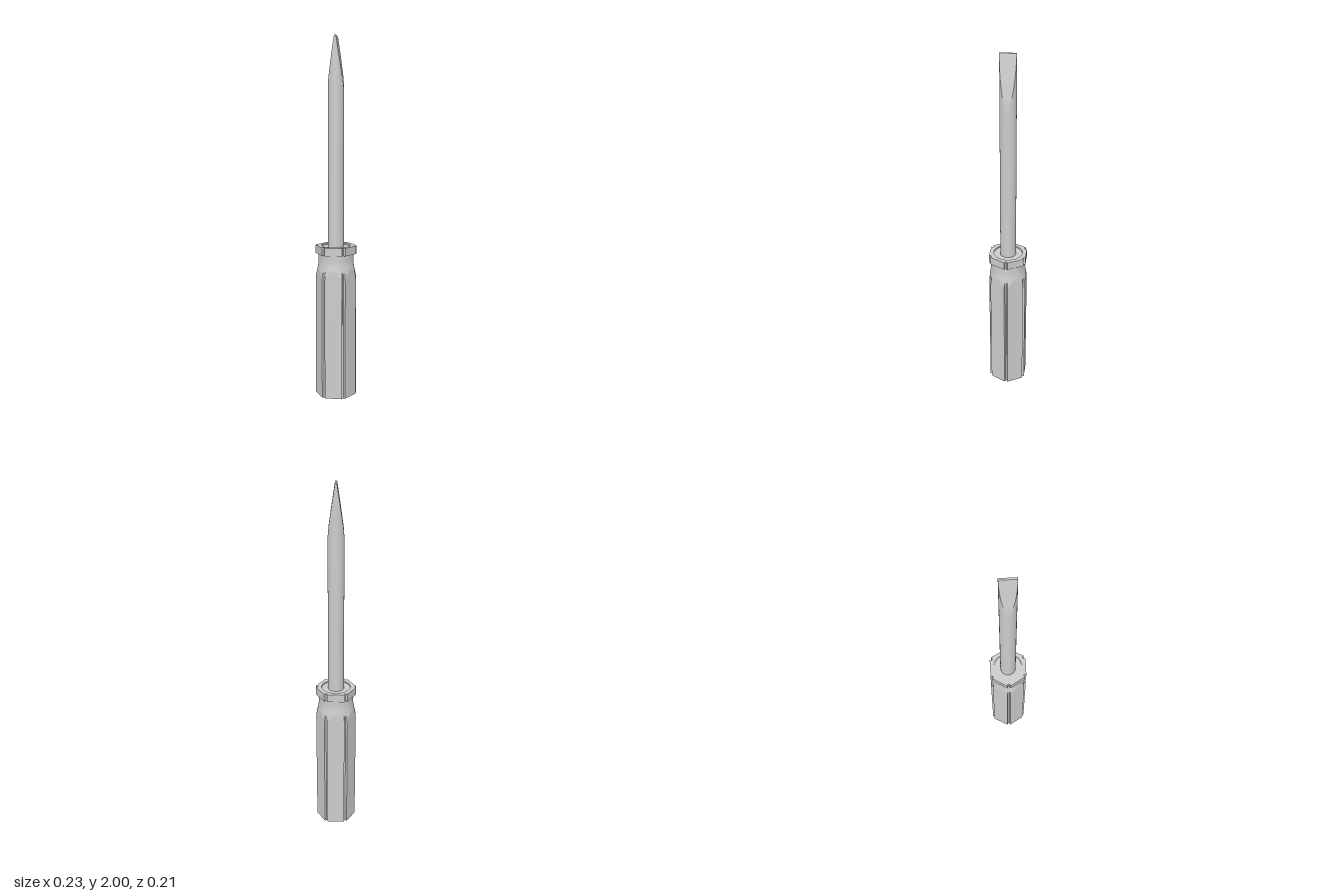
import * as THREE from 'three';
import { toCreasedNormals } from 'three/addons/utils/BufferGeometryUtils.js';

const APOTHEM = 0.103, CORNER = 0.114, SHAFT_R = 0.044, TIP_Y = 2;
const RAD = Math.PI / 180;

// Surface through rows of points; rows go up, points run so that faces look outward
function loft(rows, crease) {
  const pos = [], idx = [], n = rows[0].length;
  rows.forEach(row => row.forEach(p => pos.push(...p)));
  for (let i = 0; i < rows.length - 1; i++) {
    for (let j = 0; j < n - 1; j++) {
      const a = i * n + j, b = a + 1, c = a + n, d = c + 1;
      idx.push(a, c, b, b, c, d);
    }
  }
  const g = new THREE.BufferGeometry();
  g.setAttribute('position', new THREE.Float32BufferAttribute(pos, 3));
  g.setIndex(idx);
  g.computeVertexNormals();
  return crease ? toCreasedNormals(g, crease) : g;
}

// Angles round the hexagon: each flat, then its rounded corner
const half = Math.acos(APOTHEM / CORNER);
const angles = [];
for (let s = 0; s < 6; s++) {
  const mid = (30 + 60 * s) * RAD;
  for (let k = 0; k < 14; k++) angles.push([mid - half + (2 * half * k) / 14, mid]);
  const gap = 60 * RAD - 2 * half;
  for (let k = 0; k < 4; k++) angles.push([mid + half + (gap * k) / 4, mid + (k ? 30 * RAD : 0)]);
}
angles.push(angles[0]);

// Ring of a rounded hexagon, turned down to radius r
function hexRing(y, r) {
  return angles.map(([a, mid]) => {
    const q = Math.min(r, CORNER, APOTHEM / Math.cos(a - mid));
    return [q * Math.cos(a), y, q * Math.sin(a)];
  });
}

export function createModel() {
  const group = new THREE.Group();
  const material = new THREE.MeshStandardMaterial({ color: 0xcccccc });
  const add = (name, geometry, parent = group) => {
    const m = new THREE.Mesh(geometry, material);
    m.name = name;
    parent.add(m);
    return m;
  };

  // Hexagonal grip, blending to a round neck
  const grip = [[0, 0], [0, CORNER], [0.66, CORNER]];
  for (let k = 1; k <= 12; k++) {
    const t = k / 12;
    grip.push([0.66 + 0.12 * t, CORNER - 0.017 * t * t * (3 - 2 * t)]);
  }
  grip.push([0.82, 0.097]);
  add('handle', loft(grip.map(([y, r]) => hexRing(y, r)), 0.35));

  // Hexagonal collar with a shallow round recess on top
  const collar = [[0.813, 0.08], [0.813, CORNER], [0.858, CORNER],
    [0.858, 0.081], [0.85, 0.081], [0.85, 0.03]];
  add('collar', loft(collar.map(([y, r]) => hexRing(y, r)), 0.35));

  // Round shaft whose sides are ground down in two curved bevels to the tip
  const start = 1.71;
  const cut = new THREE.SplineCurve([
    [SHAFT_R, start], [0.0392, 1.77], [0.035, 1.8], [0.0205, 1.9], [0.005, TIP_Y],
  ].map(p => new THREE.Vector2(...p)));
  const steps = 24, sections = [[SHAFT_R, 0.84]];
  for (let i = 0; i <= steps; i++) {
    const p = cut.getPoint(i / steps);
    sections.push([Math.min(p.x, SHAFT_R), p.y]);
  }

  const round = sections.map(([c, y]) => {
    const a = Math.acos(c / SHAFT_R), row = [];
    for (let k = 0; k <= 28; k++) {
      const t = a + ((Math.PI - 2 * a) * k) / 28;
      row.push([SHAFT_R * Math.cos(t), y, SHAFT_R * Math.sin(t)]);
    }
    return row;
  });
  const bevel = sections.slice(1).map(([c, y]) => {
    const z = Math.sqrt(Math.max(0, SHAFT_R ** 2 - c * c));
    return [[c, y, -z], [c, y, 0], [c, y, z]];
  });
  const shaft = new THREE.Group();
  shaft.name = 'shaft';
  group.add(shaft);
  for (const turn of [0, Math.PI]) {
    add('shaftSide', loft(round), shaft).rotation.y = turn;
    add('bladeBevel', loft(bevel), shaft).rotation.y = turn;
  }

  // Thin flat end of the blade
  const tip = add('bladeTip', new THREE.PlaneGeometry(0.01, SHAFT_R * 2), shaft);
  tip.rotation.x = -Math.PI / 2;
  tip.position.y = TIP_Y;

  return group;
}
